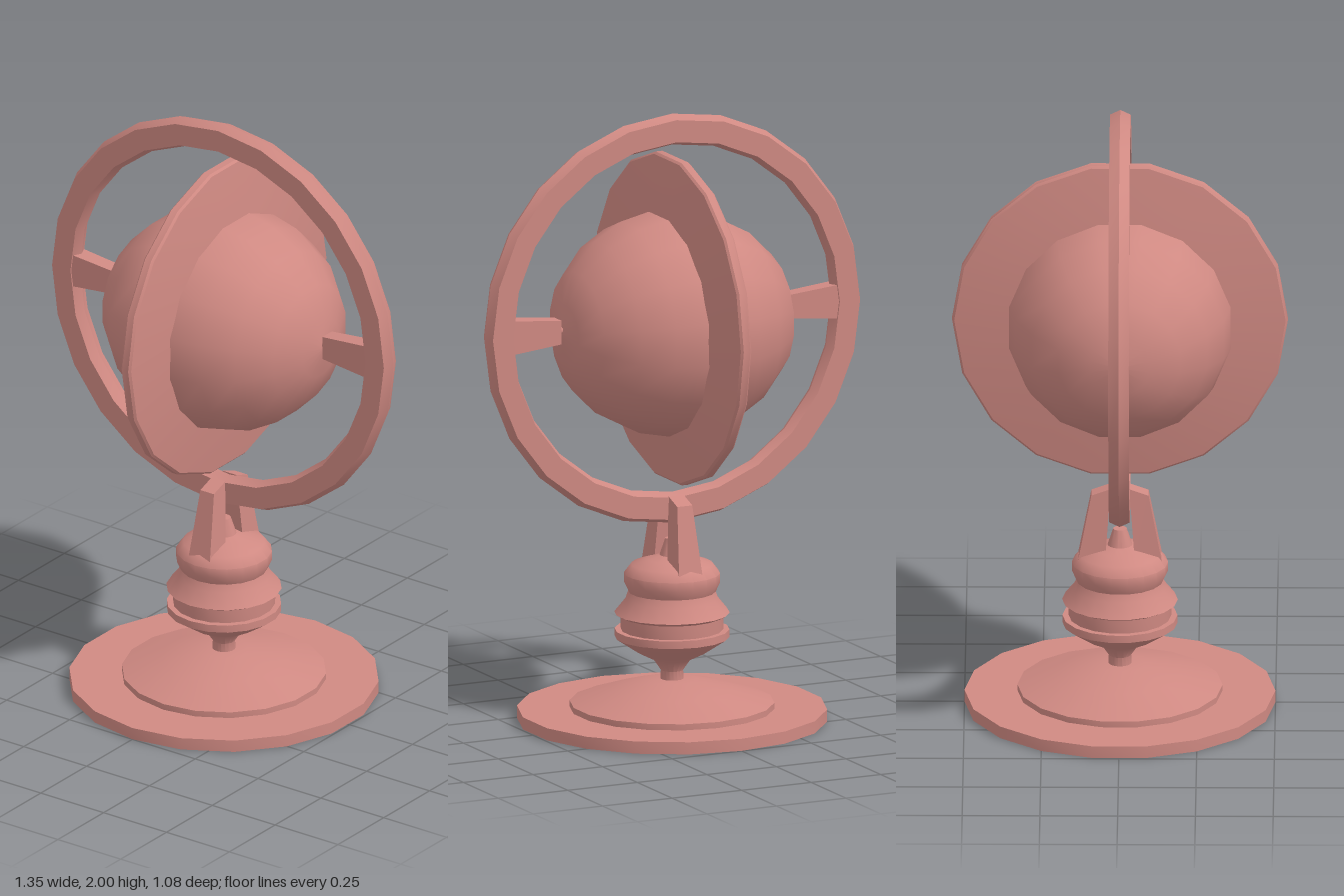
import * as THREE from 'three';
import { toCreasedNormals } from 'three/addons/utils/BufferGeometryUtils.js';

const material = new THREE.MeshStandardMaterial({ color: 0xcf8982 });
const AXIS_Y = 1.325;

function addMesh(parent, name, geometry) {
  const mesh = new THREE.Mesh(geometry, material);
  mesh.name = name;
  parent.add(mesh);
  return mesh;
}

// Turned part from [radius, height] pairs, with hard edges kept sharp
function turned(profile, sides, crease = 0.5) {
  const points = profile.map(([r, y]) => new THREE.Vector2(r, y));
  return toCreasedNormals(new THREE.LatheGeometry(points, sides), crease);
}

// Block rising along y; each end is { w, near, far, drop }, near/far along z
function taperedBlock(height, bottom, top) {
  const geometry = new THREE.BoxGeometry(1, 1, 1);
  const p = geometry.attributes.position;
  for (let i = 0; i < p.count; i++) {
    const isTop = p.getY(i) > 0;
    const isFar = p.getZ(i) > 0;
    const end = isTop ? top : bottom;
    p.setXYZ(i, p.getX(i) * end.w,
      (isTop ? height : 0) - (isFar ? end.drop || 0 : 0),
      isFar ? end.far : end.near);
  }
  return toCreasedNormals(geometry, 0.2);
}

export function createModel() {
  const model = new THREE.Group();
  model.name = 'globeOnStand';

  // Round foot with a hollow underside
  addMesh(model, 'foot', turned([
    [0, 0.1], [0.035, 0.1], [0.035, 0.12], [0.06, 0.12], [0.2, 0.09], [0.325, 0.05],
    [0.33, 0], [0.5, 0], [0.5, 0.04], [0.33, 0.04], [0.33, 0.06],
    [0.2, 0.103], [0.08, 0.135], [0.03, 0.137],
  ], 18));

  // Turned pedestal with a small knob on top
  addMesh(model, 'pedestal', turned([
    [0.038, 0.125], [0.036, 0.165], [0.06, 0.2], [0.11, 0.225], [0.185, 0.275],
    [0.185, 0.3], [0.165, 0.3], [0.167, 0.345], [0.186, 0.355], [0.15, 0.4],
    [0.141, 0.425], [0.155, 0.455], [0.155, 0.485], [0.132, 0.515], [0.08, 0.533],
    [0.04, 0.545], [0.022, 0.6], [0, 0.6],
  ], 18, 0.65));

  // Fork prongs holding the upright ring from front and back
  for (const side of [0, 1]) {
    const prong = addMesh(model, side ? 'backProng' : 'frontProng', taperedBlock(0.245,
      { w: 0.084, near: 0.048, far: 0.135 },
      { w: 0.054, near: 0.03, far: 0.092, drop: 0.022 }));
    prong.position.y = 0.5;
    prong.rotation.y = side * Math.PI;
  }

  // Upright ring with pointed inner and outer rims
  const ring = addMesh(model, 'uprightRing', turned([
    [0.587, -0.033], [0.66, -0.033], [0.675, 0], [0.66, 0.033],
    [0.587, 0.033], [0.573, 0], [0.587, -0.033],
  ], 24));
  ring.rotation.x = Math.PI / 2;
  ring.position.y = AXIS_Y;

  // Disc around the globe, thinning towards its rim
  const disc = addMesh(model, 'discRing', turned([
    [0.3, -0.052], [0.36, -0.046], [0.533, -0.019], [0.54, -0.012],
    [0.54, 0.012], [0.533, 0.019], [0.36, 0.046], [0.3, 0.052], [0.3, -0.052],
  ], 18));
  disc.rotation.z = Math.PI / 2;
  disc.position.y = AXIS_Y;

  // Globe, turned about the sideways axis
  const half = [[0.363, 0.05], [0.342, 0.15], [0.288, 0.25], [0.2, 0.34], [0.1, 0.385], [0, 0.4]];
  const globeProfile = [...half.map(([r, x]) => [r, -x]).reverse(), [0.367, 0], ...half];
  const globe = addMesh(model, 'globe', new THREE.LatheGeometry(
    globeProfile.map(([r, x]) => new THREE.Vector2(r, x)), 16, Math.PI / 16));
  globe.rotation.z = Math.PI / 2;
  globe.position.y = 1.31;

  // Side brackets and their pivot pins
  for (const s of [1, -1]) {
    const side = s > 0 ? 'left' : 'right';
    const bracket = addMesh(model, side + 'Bracket', taperedBlock(0.18,
      { w: 0.112, near: -0.03, far: 0.03 },
      { w: 0.078, near: -0.026, far: 0.026 }));
    bracket.rotation.z = s * Math.PI / 2;
    bracket.position.set(s * 0.59, AXIS_Y, 0);

    const pin = addMesh(model, side + 'Pin', new THREE.CylinderGeometry(0.011, 0.011, 0.07, 8));
    pin.rotation.z = Math.PI / 2;
    pin.position.set(s * 0.4, AXIS_Y, 0);
  }

  return model;
}
